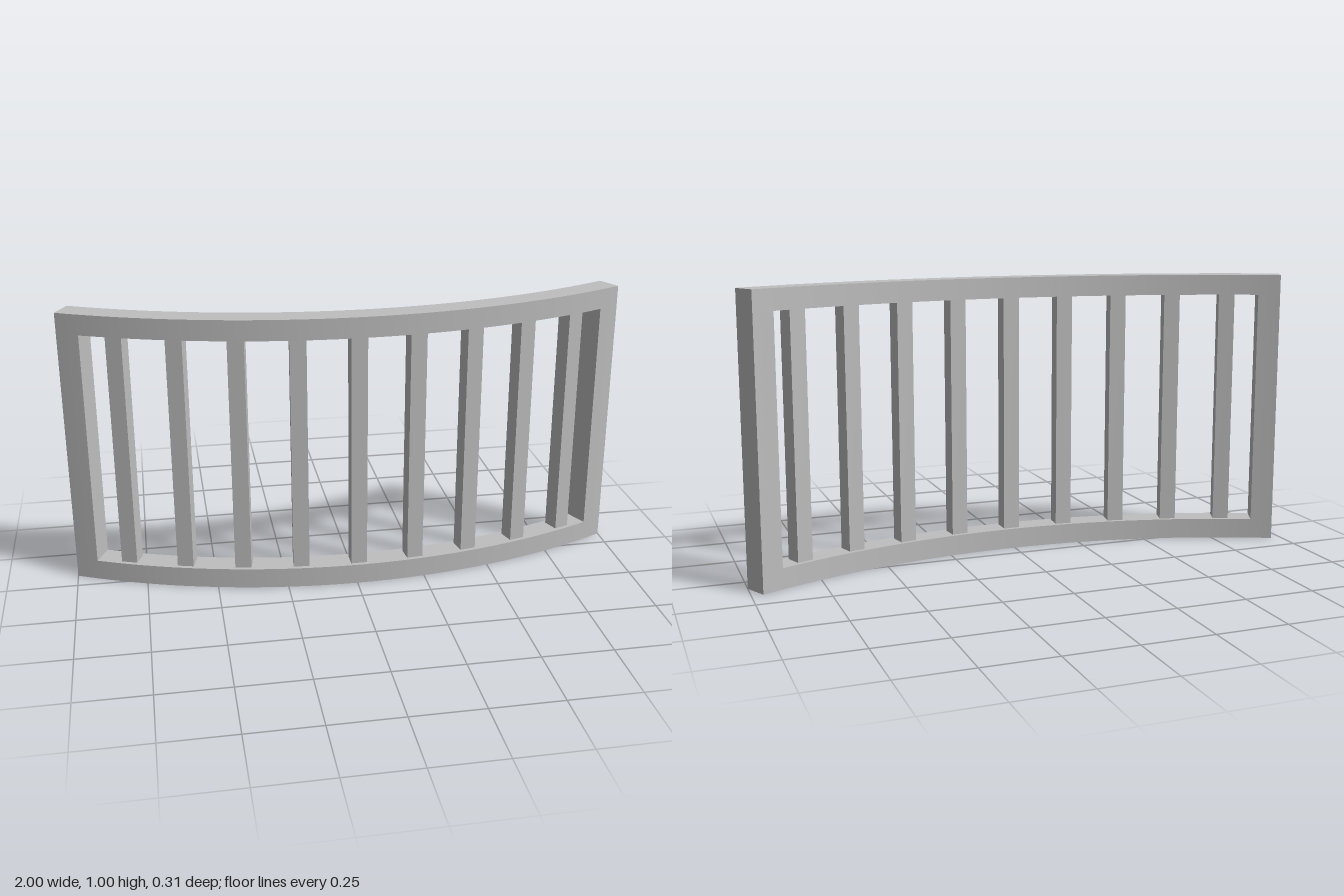
import * as THREE from 'three';
import { toCreasedNormals } from 'three/addons/utils/BufferGeometryUtils.js';

const OUTER = 2.289, INNER = 2.199;   // radii of the curved frame
const CENTRE_Z = 0.155 - OUTER;       // centre of curvature
const HALF = Math.asin(1 / OUTER);    // half of the swept angle
const POST = Math.asin(0.925 / OUTER); // angle of a post's inner face
const HEIGHT = 1, RAIL = 0.073;

// Curved block between two angles (0 faces +z), standing on y0
function arcBlock(a0, a1, y0, height, segments) {
  const s = new THREE.Shape();
  const q = Math.PI / 2;
  s.absarc(0, 0, OUTER, a0 - q, a1 - q, false);
  s.absarc(0, 0, INNER, a1 - q, a0 - q, true);
  s.closePath();
  const g = new THREE.ExtrudeGeometry(s, { depth: height, bevelEnabled: false, curveSegments: segments });
  g.rotateX(-Math.PI / 2);
  g.translate(0, y0, CENTRE_Z);
  return toCreasedNormals(g, 0.5);
}

export function createModel() {
  const group = new THREE.Group();
  group.name = 'curvedRailing';
  const grey = new THREE.MeshStandardMaterial({ color: 0xbfbfbf });
  grey.name = 'grey';

  const add = (name, geometry) => {
    const mesh = new THREE.Mesh(geometry, grey);
    mesh.name = name;
    group.add(mesh);
    return mesh;
  };

  // Top and bottom rails
  add('bottomRail', arcBlock(-HALF, HALF, 0, RAIL, 48));
  add('topRail', arcBlock(-HALF, HALF, HEIGHT - RAIL, RAIL, 48));

  // End posts between the rails
  add('rightPost', arcBlock(-HALF, -POST, RAIL, HEIGHT - 2 * RAIL, 4));
  add('leftPost', arcBlock(POST, HALF, RAIL, HEIGHT - 2 * RAIL, 4));

  // Nine square bars, each turned to follow the curve
  const barGeometry = new THREE.BoxGeometry(0.058, HEIGHT - 2 * RAIL, 0.06);
  const barRadius = OUTER - 0.045;
  const step = THREE.MathUtils.degToRad(5.27);
  for (let i = -4; i <= 4; i++) {
    const a = i * step + 0.0035;
    const bar = add('bar' + (i + 5), barGeometry);
    bar.position.set(barRadius * Math.sin(a), HEIGHT / 2, CENTRE_Z + barRadius * Math.cos(a));
    bar.rotation.y = a;
  }
  return group;
}
